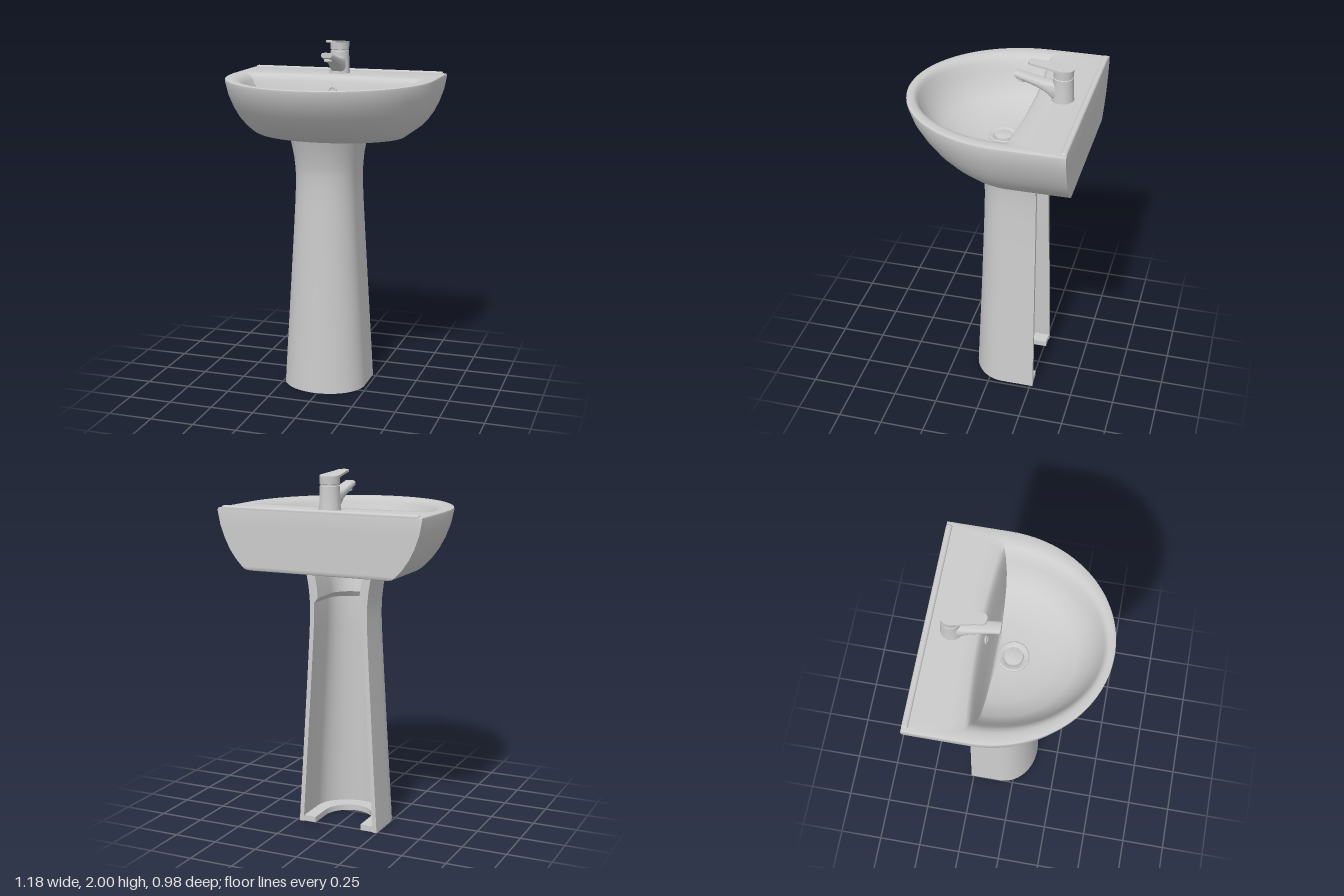
import * as THREE from 'three';
import { toCreasedNormals } from 'three/addons/utils/BufferGeometryUtils.js';
import { RoundedBoxGeometry } from 'three/addons/geometries/RoundedBoxGeometry.js';

const material = new THREE.MeshStandardMaterial({ color: 0xcccccc });

function addMesh(parent, name, geometry, x = 0, y = 0, z = 0) {
  const mesh = new THREE.Mesh(geometry, material);
  mesh.name = name;
  mesh.position.set(x, y, z);
  parent.add(mesh);
  return mesh;
}

// Skin a stack of closed rings (even point count) and cap both ends
function loft(rings, crease = 0.6) {
  const n = rings[0].length;
  const index = [];
  const quad = (a, b, c, d) => index.push(a, b, c, a, c, d);
  for (let i = 0; i < rings.length - 1; i++) {
    for (let j = 0; j < n; j++) {
      const k = (j + 1) % n;
      quad(i * n + j, (i + 1) * n + j, (i + 1) * n + k, i * n + k);
    }
  }
  const end = (rings.length - 1) * n;
  for (let j = 0; j < n / 2 - 1; j++) {
    quad(j, j + 1, n - 2 - j, n - 1 - j);
    quad(end + n - 1 - j, end + n - 2 - j, end + j + 1, end + j);
  }
  const geometry = new THREE.BufferGeometry();
  geometry.setAttribute('position', new THREE.Float32BufferAttribute(rings.flat(2), 3));
  geometry.setIndex(index);
  return toCreasedNormals(geometry, crease);
}

// D-shaped ring: bowed back edge, straight sides, elliptical front
function basinRing(y, hw, front, back, zc, bow = 0) {
  const pts = [];
  const nb = 24, ns = 6, na = 60;
  for (let i = 0; i < nb; i++) {
    const u = -1 + (2 * i) / nb;
    pts.push([u * hw, y, back - bow * (1 - u * u)]);
  }
  for (let i = 0; i < ns; i++) pts.push([hw, y, back + ((zc - back) * i) / ns]);
  for (let i = 0; i < na; i++) {
    const a = (Math.PI * i) / na;
    pts.push([hw * Math.cos(a), y, zc + (front - zc) * Math.sin(a)]);
  }
  for (let i = 0; i < ns; i++) pts.push([-hw, y, zc + ((back - zc) * i) / ns]);
  return pts;
}

// U-shaped wall section open to the back
function channelRing(y, back, outer, inner) {
  const half = ([hw, front, zc]) => {
    const pts = [[hw, y, back]];
    for (let i = 0; i <= 32; i++) {
      const a = (Math.PI * i) / 32;
      pts.push([hw * Math.cos(a), y, zc + (front - zc) * Math.sin(a)]);
    }
    pts.push([-hw, y, back]);
    return pts;
  };
  return [...half(outer), ...half(inner).reverse()];
}

function createBasin() {
  const basin = new THREE.Group();
  basin.name = 'basin';
  // Outer shell upwards, over the rim and deck, then down into the bowl
  const shell = [
    [1.468, 0.40, 0.10, -0.485, -0.15],
    [1.473, 0.425, 0.155, -0.49, -0.15],
    [1.49, 0.447, 0.215, -0.49, -0.15],
    [1.53, 0.485, 0.29, -0.49, -0.15],
    [1.58, 0.52, 0.355, -0.49, -0.15],
    [1.64, 0.55, 0.41, -0.49, -0.15],
    [1.71, 0.575, 0.458, -0.49, -0.15],
    [1.785, 0.59, 0.487, -0.49, -0.15],
    [1.796, 0.588, 0.487, -0.488, -0.15],
    [1.80, 0.578, 0.478, -0.478, -0.15],
    [1.797, 0.54, 0.465, -0.24, -0.15, 0.03],
    [1.795, 0.522, 0.452, -0.18, -0.15, 0.03],
    [1.785, 0.498, 0.44, -0.168, -0.14, 0.03],
    [1.765, 0.477, 0.43, -0.16, -0.135, 0.027],
    [1.72, 0.455, 0.41, -0.152, -0.13, 0.022],
    [1.65, 0.42, 0.365, -0.142, -0.12, 0.012],
    [1.595, 0.365, 0.30, -0.135, -0.11, 0.005],
    [1.56, 0.27, 0.20, -0.128, -0.10],
    [1.545, 0.17, 0.12, -0.122, -0.09],
    [1.54, 0.08, 0.05, -0.11, -0.06],
  ];
  addMesh(basin, 'basinShell', loft(shell.map((r) => basinRing(...r)), 0.8));
  addMesh(basin, 'backLip', new RoundedBoxGeometry(1.14, 0.03, 0.034, 4, 0.012), 0, 1.795, -0.472);

  // Drain flange with a domed plug
  const drain = [[0.084, 1.535], [0.084, 1.546], [0.078, 1.55], [0.06, 1.546], [0.052, 1.54],
    [0.05, 1.549], [0.03, 1.554], [0, 1.556]].map((p) => new THREE.Vector2(...p));
  addMesh(basin, 'drain', toCreasedNormals(new THREE.LatheGeometry(drain, 48), 0.6), 0, 0, -0.03);

  // Overflow fitting on the back wall of the bowl
  const overflow = new THREE.Group();
  overflow.name = 'overflow';
  overflow.position.set(0, 1.715, -0.171);
  overflow.rotation.x = -0.15;
  addMesh(overflow, 'overflowRing', new THREE.TorusGeometry(0.02, 0.006, 10, 32));
  addMesh(overflow, 'overflowPlate', new THREE.CircleGeometry(0.019, 32), 0, 0, 0.001);
  basin.add(overflow);
  return basin;
}

function createPedestal() {
  const pedestal = new THREE.Group();
  pedestal.name = 'pedestal';
  pedestal.position.x = -0.01;
  // Height, half width, front, wall thickness: the wall thickens near the top
  const sections = [
    [0, 0.24, 0.12, 0.025], [0.3, 0.222, 0.107, 0.025], [0.6, 0.204, 0.095, 0.025],
    [0.9, 0.186, 0.085, 0.025], [1.1, 0.175, 0.078, 0.025], [1.2, 0.171, 0.077, 0.025],
    [1.27, 0.172, 0.08, 0.025], [1.3, 0.174, 0.084, 0.05], [1.36, 0.18, 0.097, 0.05],
    [1.42, 0.191, 0.114, 0.05], [1.475, 0.202, 0.133, 0.05],
  ];
  const rings = sections.map(([y, hw, front, t]) =>
    channelRing(y, -0.265 + y * 0.013, [hw, front, -0.08], [hw - t, front - t, -0.08]));
  addMesh(pedestal, 'column', loft(rings));
  // Foot flange with a rounded cutout
  const foot = [0.002, 0.035].map((y) =>
    channelRing(y, -0.262, [0.23, 0.11, -0.08], [0.14, 0.01, -0.13]));
  addMesh(pedestal, 'footFlange', loft(foot));
  return pedestal;
}

function createFaucet() {
  const faucet = new THREE.Group();
  faucet.name = 'faucet';
  faucet.position.set(-0.01, 0, -0.345);
  // Body with a seam below the lever cap
  const body = [[0.06, 1.79], [0.06, 1.802], [0.056, 1.825], [0.053, 1.925], [0.049, 1.927],
    [0.049, 1.932], [0.053, 1.934], [0.055, 1.974], [0, 1.974]].map((p) => new THREE.Vector2(...p));
  addMesh(faucet, 'faucetBody', toCreasedNormals(new THREE.LatheGeometry(body, 40), 0.6));

  // Spout sections: distance forward, centre height, half width, half height
  const soft = (v) => Math.sign(v) * Math.abs(v) ** 0.65;
  const spout = [
    [0.01, 1.845, 0.045, 0.055], [0.055, 1.855, 0.044, 0.045], [0.09, 1.871, 0.041, 0.03],
    [0.14, 1.887, 0.037, 0.023], [0.20, 1.905, 0.034, 0.02], [0.25, 1.919, 0.033, 0.017],
    [0.256, 1.921, 0.03, 0.014],
  ].map(([z, y, hw, hh]) => Array.from({ length: 32 }, (_, i) => {
    const a = (i / 32) * Math.PI * 2;
    return [hw * soft(Math.sin(a)), y + hh * soft(Math.cos(a)), z];
  }));
  addMesh(faucet, 'spout', loft(spout));
  addMesh(faucet, 'aerator', new THREE.CylinderGeometry(0.023, 0.023, 0.03, 28), 0, 1.897, 0.222)
    .rotation.x = -0.25;

  // Teardrop lever, tilted up towards the front
  const outline = new THREE.Shape();
  outline.absarc(0, 0, 0.055, Math.PI, Math.PI * 2, false);
  outline.bezierCurveTo(0.055, 0.04, 0.036, 0.09, 0.031, 0.165);
  outline.bezierCurveTo(0.028, 0.197, -0.028, 0.197, -0.031, 0.165);
  outline.bezierCurveTo(-0.036, 0.09, -0.055, 0.04, -0.055, 0);
  const lever = new THREE.ExtrudeGeometry(outline, { depth: 0.012, bevelEnabled: false, curveSegments: 20 });
  lever.rotateX(Math.PI / 2);
  addMesh(faucet, 'lever', toCreasedNormals(lever, 0.6), 0, 1.981, 0).rotation.x = -0.1;
  return faucet;
}

export function createModel() {
  const model = new THREE.Group();
  model.name = 'pedestalSink';
  model.add(createBasin(), createPedestal(), createFaucet());
  return model;
}
